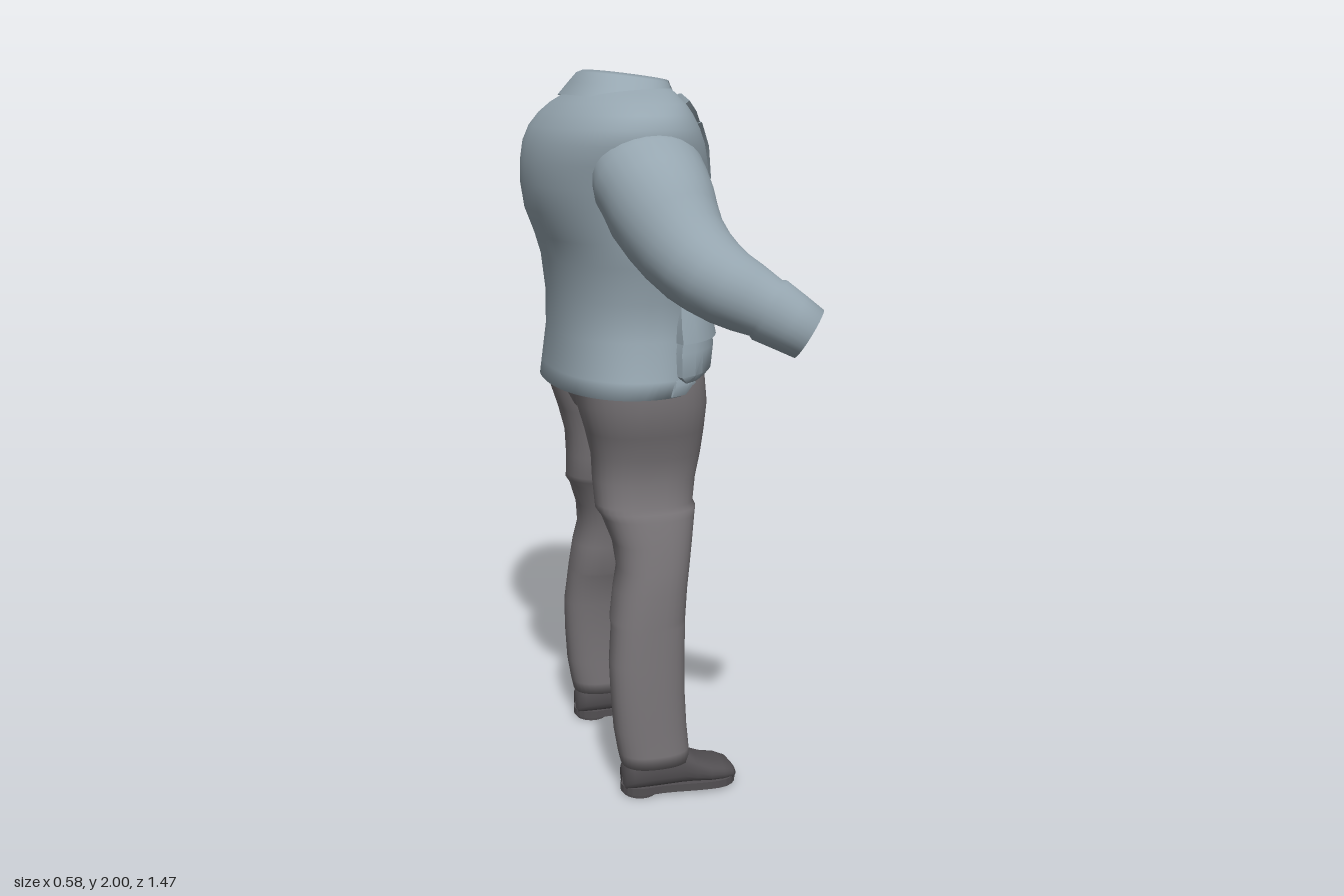
import * as THREE from 'three';
import { toCreasedNormals } from 'three/addons/utils/BufferGeometryUtils.js';

const DS = THREE.DoubleSide;
const jacketMat = new THREE.MeshStandardMaterial({ name: 'blueGreyCloth', color: 0x96a6b0, side: DS });
const trouserMat = new THREE.MeshStandardMaterial({ name: 'greyCloth', color: 0x797578, side: DS });
const shoeMat = new THREE.MeshStandardMaterial({ name: 'darkLeather', color: 0x524f52, side: DS });

const V = (x, y, z) => new THREE.Vector3(x, y, z);
const spow = (v, p) => Math.sign(v) * Math.pow(Math.abs(v), p);

// Linear lookup in a table whose first column is the key (ascending)
function lookup(table, k) {
  let i = 0;
  while (i < table.length - 2 && k > table[i + 1][0]) i++;
  const a = table[i], b = table[i + 1];
  const t = THREE.MathUtils.clamp((k - a[0]) / (b[0] - a[0]), 0, 1);
  return a.map((v, j) => v + (b[j] - v) * t);
}

// Skin over rows of points; closed rows wrap round
function skin(rows, closed, flip = false) {
  const n = rows[0].length, pos = [], idx = [];
  rows.forEach(r => r.forEach(p => pos.push(p.x, p.y, p.z)));
  for (let i = 0; i < rows.length - 1; i++)
    for (let j = 0; j < (closed ? n : n - 1); j++) {
      const k = (j + 1) % n;
      const a = i * n + j, b = i * n + k, c = a + n, d = b + n;
      if (flip) idx.push(a, b, c, b, d, c);
      else idx.push(a, c, b, b, c, d);
    }
  const g = new THREE.BufferGeometry();
  g.setAttribute('position', new THREE.Float32BufferAttribute(pos, 3));
  g.setIndex(idx);
  g.computeVertexNormals();
  return g;
}

function add(group, name, geo, mat) {
  const m = new THREE.Mesh(geo, mat);
  m.name = name;
  group.add(m);
}

// Rounded horizontal section
function ring(y, x0, x1, z0, z1, n, seg) {
  const out = [];
  for (let j = 0; j < seg; j++) {
    const a = j / seg * Math.PI * 2;
    out.push(V((x0 + x1) / 2 + (x1 - x0) / 2 * spow(Math.cos(a), 2 / n), y,
      (z0 + z1) / 2 + (z1 - z0) / 2 * spow(Math.sin(a), 2 / n)));
  }
  return out;
}

// Jacket body: height, back, front, half width
const N = 2.2;
const torso = [
  [1.155, -0.25, 0.155, 0.325], [1.2, -0.245, 0.175, 0.32], [1.3, -0.235, 0.185, 0.288],
  [1.4, -0.235, 0.19, 0.285], [1.5, -0.245, 0.195, 0.315], [1.56, -0.263, 0.198, 0.322],
  [1.63, -0.29, 0.197, 0.33], [1.7, -0.3, 0.19, 0.342], [1.76, -0.297, 0.18, 0.36],
  [1.81, -0.287, 0.167, 0.376], [1.85, -0.268, 0.15, 0.375], [1.885, -0.24, 0.132, 0.352],
  [1.912, -0.21, 0.117, 0.31], [1.935, -0.178, 0.102, 0.24], [1.955, -0.15, 0.09, 0.16]];

function frontX(y, z) {
  const [, b, f, h] = lookup(torso, y);
  return (b + f) / 2 + (f - b) / 2 * Math.pow(Math.max(0, 1 - Math.pow(Math.abs(z) / h, N)), 1 / N);
}

// Cut the open V of the neckline by sliding points down to its edge
function cutNeck(p) {
  const edge = 1.815 + 1.75 * Math.abs(p.z);
  if (p.x > 0 && p.y > edge) { p.y = edge; p.x = frontX(edge, p.z); }
  return p;
}

// Point on the jacket front at height y and side distance z, lifted by d
function onJacket(y, z, d) {
  const [, b, f, h] = lookup(torso, y);
  const a = Math.asin(Math.min(0.995, Math.pow(z / h, N / 2)));
  const up = THREE.MathUtils.smoothstep(y, 1.8, 1.93) * 0.8;
  return V((b + f) / 2 + (f - b) / 2 * spow(Math.cos(a), 2 / N) + d * Math.cos(a), y + d * up,
    h * Math.pow(Math.sin(a), 2 / N) + d * Math.sin(a));
}

// Sewn-on panel; rows are height, inner z, outer z, lift
function panel(rows, s, cols = 8) {
  const line = (r, d) => {
    const out = [];
    for (let j = -1; j <= cols + 1; j++) {
      const t = THREE.MathUtils.clamp(j / cols, 0, 1);
      const edge = j < 0 || j > cols;
      const p = onJacket(r[0], r[1] + (r[2] - r[1]) * t, edge ? -0.01 : d);
      out.push(V(p.x, p.y, p.z * s));
    }
    return out;
  };
  const first = rows[0], last = rows[rows.length - 1];
  const all = [line(first, -0.01), ...rows.map(r => line(r, r[3])), line(last, -0.01)];
  return toCreasedNormals(skin(all, false, s < 0), 0.7);
}

function buildJacket() {
  const g = new THREE.Group();
  g.name = 'jacket';
  // Body with a turned-in hem, open at the neck
  const rows = torso.map(([y, b, f, h]) => ring(y, b, f, -h, h, N, 96).map(cutNeck));
  rows.unshift(ring(1.17, -0.23, 0.135, -0.3, 0.3, N, 96));
  rows.slice(0, 2).forEach(r => r.forEach(p => {
    if (p.x > 0.05) p.y += 0.03 * Math.max(0, 1 - Math.abs(p.z) / 0.1);
  }));
  add(g, 'jacketBody', skin(rows, true), jacketMat);

  // Stand collar, higher at the back
  const collar = [[1.915, -0.195, 0.108, 0.23], [1.95, -0.17, 0.1, 0.19], [1.98, -0.147, 0.092, 0.16],
    [1.988, -0.132, 0.086, 0.14], [1.97, -0.118, 0.08, 0.122], [1.92, -0.115, 0.08, 0.115]];
  add(g, 'collar', skin(collar.map(([y, b, f, h]) => ring(y, b, f, -h, h, 2.2, 96).map(p => {
    p.y -= 0.13 * (p.x + 0.05);
    return cutNeck(p);
  })), true), jacketMat);

  for (const s of [1, -1]) {
    const side = s > 0 ? 'left' : 'right';
    const part = (name, r) => add(g, side + name, panel(r, s), jacketMat);
    part('Lapel', [[1.6, 0.045, 0.055, 0.008], [1.66, 0.04, 0.08, 0.01], [1.72, 0.036, 0.108, 0.012],
      [1.8, 0.022, 0.145, 0.014], [1.86, 0.035, 0.185, 0.012]]);
    part('CollarFall', [[1.855, 0.035, 0.15, 0.01], [1.885, 0.045, 0.175, 0.011],
      [1.912, 0.06, 0.19, 0.01], [1.93, 0.07, 0.17, 0.008]]);
    part('FrontEdge', [[1.155, 0.08, 0.125, 0.01], [1.22, 0.065, 0.105, 0.012], [1.3, 0.055, 0.09, 0.012],
      [1.42, 0.042, 0.075, 0.012], [1.54, 0.035, 0.07, 0.012], [1.64, 0.03, 0.065, 0.01], [1.78, 0.012, 0.045, 0.008]]);
    part('ChestPocket', [[1.465, 0.11, 0.215, 0.003], [1.485, 0.095, 0.235, 0.012],
      [1.54, 0.092, 0.24, 0.014], [1.6, 0.092, 0.245, 0.006]]);
    part('ChestPocketFlap', [[1.565, 0.085, 0.255, 0.02], [1.6, 0.08, 0.26, 0.015], [1.645, 0.077, 0.265, 0.003]]);
    part('HipPocket', [[1.19, 0.13, 0.295, 0.01], [1.21, 0.12, 0.305, 0.024],
      [1.27, 0.12, 0.288, 0.028], [1.34, 0.12, 0.272, 0.014]]);
    part('HipPocketFlap', [[1.295, 0.115, 0.28, 0.034], [1.34, 0.113, 0.277, 0.022], [1.39, 0.11, 0.272, 0.003]]);
    part('HemBand', [[1.158, 0.12, 0.315, 0.006], [1.185, 0.12, 0.312, 0.01], [1.2, 0.12, 0.31, 0.003]]);

    // Sleeve bending forward, with a raised and hollow cuff
    const path = new THREE.CatmullRomCurve3([V(-0.065, 1.775, 0.22), V(-0.05, 1.715, 0.33), V(-0.035, 1.63, 0.415),
      V(-0.005, 1.555, 0.495), V(0.05, 1.495, 0.57), V(0.135, 1.445, 0.627), V(0.243, 1.377, 0.67)]);
    const radii = [[0, 0.125, 0.09], [0.16, 0.15, 0.135], [0.3, 0.138, 0.143], [0.47, 0.115, 0.12],
      [0.62, 0.104, 0.102], [0.76, 0.086, 0.088], [0.83, 0.072, 0.078], [0.845, 0.077, 0.083], [1, 0.068, 0.068]];
    const ts = [0, 0.05, 0.1, 0.16, 0.22, 0.3, 0.38, 0.47, 0.55, 0.62, 0.69, 0.76, 0.83, 0.845, 0.92, 1, 1, 0.94, 0.82];
    const sleeve = ts.map((t, i) => {
      const c = path.getPointAt(t), dir = path.getTangentAt(t);
      const across = dir.clone().cross(V(0, 1, 0)).normalize(), up = across.clone().cross(dir);
      const inset = i > 15 ? 0.018 : 0;
      const [, ra, ru] = lookup(radii, t);
      return Array.from({ length: 28 }, (_, j) => {
        const a = j / 28 * Math.PI * 2;
        const p = c.clone().addScaledVector(across, (ra - inset) * Math.cos(a))
          .addScaledVector(up, (ru - inset) * Math.sin(a));
        return V(p.x, p.y, p.z * s);
      });
    });
    add(g, side + 'Sleeve', skin(sleeve, true, s > 0), jacketMat);
  }
  return g;
}

function buildTrousers() {
  const g = new THREE.Group();
  g.name = 'trousers';
  // Seat and crotch, closed below
  const seat = [[1.028, 0, 0.001, 0.001], [1.03, -0.07, 0.07, 0.03], [1.045, -0.12, 0.11, 0.07],
    [1.08, -0.165, 0.135, 0.14], [1.13, -0.19, 0.145, 0.25], [1.18, -0.2, 0.145, 0.285], [1.24, -0.2, 0.14, 0.265]];
  add(g, 'seat', skin(seat.map(([y, b, f, h]) => ring(y, b, f, -h, h, 2.3, 48)), true), trouserMat);
  // Legs: height, back, front, inner, outer; a knee panel ends in small steps
  const leg = [[0.125, -0.09, 0.06, 0.215, 0.31], [0.095, -0.11, 0.085, 0.195, 0.335], [0.13, -0.118, 0.085, 0.192, 0.333],
    [0.2, -0.13, 0.078, 0.193, 0.331], [0.3, -0.137, 0.073, 0.188, 0.329], [0.4, -0.14, 0.074, 0.178, 0.325],
    [0.5, -0.13, 0.078, 0.158, 0.32], [0.515, -0.13, 0.08, 0.138, 0.32], [0.6, -0.118, 0.087, 0.128, 0.315],
    [0.66, -0.105, 0.096, 0.118, 0.307], [0.73, -0.113, 0.108, 0.1, 0.295], [0.8, -0.138, 0.122, 0.075, 0.278],
    [0.82, -0.152, 0.128, 0.066, 0.27], [0.835, -0.152, 0.122, 0.058, 0.262], [0.9, -0.155, 0.134, 0.043, 0.248],
    [0.97, -0.158, 0.147, 0.034, 0.258], [1.04, -0.175, 0.153, 0.022, 0.28], [1.12, -0.2, 0.156, 0.01, 0.307],
    [1.2, -0.205, 0.15, 0.01, 0.3]];
  for (const s of [1, -1])
    add(g, s > 0 ? 'leftLeg' : 'rightLeg',
      skin(leg.map(([y, b, f, i, o]) => ring(y, b, f, i * s, o * s, 2.4, 32)), true, s < 0), trouserMat);
  return g;
}

function buildShoe(s) {
  const g = new THREE.Group();
  g.name = s > 0 ? 'leftShoe' : 'rightShoe';
  // Upper: position along the foot, half width, height
  const upper = [[-0.108, 0.005, 0.05], [-0.104, 0.035, 0.085], [-0.085, 0.05, 0.115], [-0.02, 0.056, 0.13],
    [0.06, 0.056, 0.125], [0.1, 0.059, 0.1], [0.14, 0.064, 0.082], [0.18, 0.063, 0.073], [0.21, 0.053, 0.06],
    [0.222, 0.035, 0.045], [0.224, 0.005, 0.035]];
  const rows = upper.map(([x, w, h]) => Array.from({ length: 24 }, (_, j) => {
    const a = j / 24 * Math.PI * 2;
    return V(x, 0.018 + (h - 0.018) * (0.5 + 0.5 * spow(Math.sin(a), 0.8)), w * spow(Math.cos(a), 0.8));
  }));
  add(g, 'upper', skin(rows, true), shoeMat);
  // Sole and heel block
  const outline = new THREE.Shape();
  outline.moveTo(-0.05, -0.052);
  outline.bezierCurveTo(0.03, -0.045, 0.08, -0.068, 0.16, -0.068);
  outline.bezierCurveTo(0.25, -0.066, 0.25, 0.066, 0.16, 0.068);
  outline.bezierCurveTo(0.08, 0.068, 0.03, 0.045, -0.05, 0.052);
  outline.bezierCurveTo(-0.132, 0.05, -0.132, -0.05, -0.05, -0.052);
  const sole = new THREE.ExtrudeGeometry(outline, { depth: 0.022, bevelEnabled: false, curveSegments: 10 });
  sole.rotateX(-Math.PI / 2).translate(0, 0.009, 0);
  add(g, 'sole', sole, shoeMat);
  const heel = new THREE.CylinderGeometry(0.05, 0.048, 0.022, 24);
  heel.translate(-0.056, 0.011, 0);
  add(g, 'heel', heel, shoeMat);
  g.position.z = 0.262 * s;
  return g;
}

export function createModel() {
  const model = new THREE.Group();
  model.name = 'outfit';
  model.add(buildJacket(), buildTrousers(), buildShoe(1), buildShoe(-1));
  return model;
}
